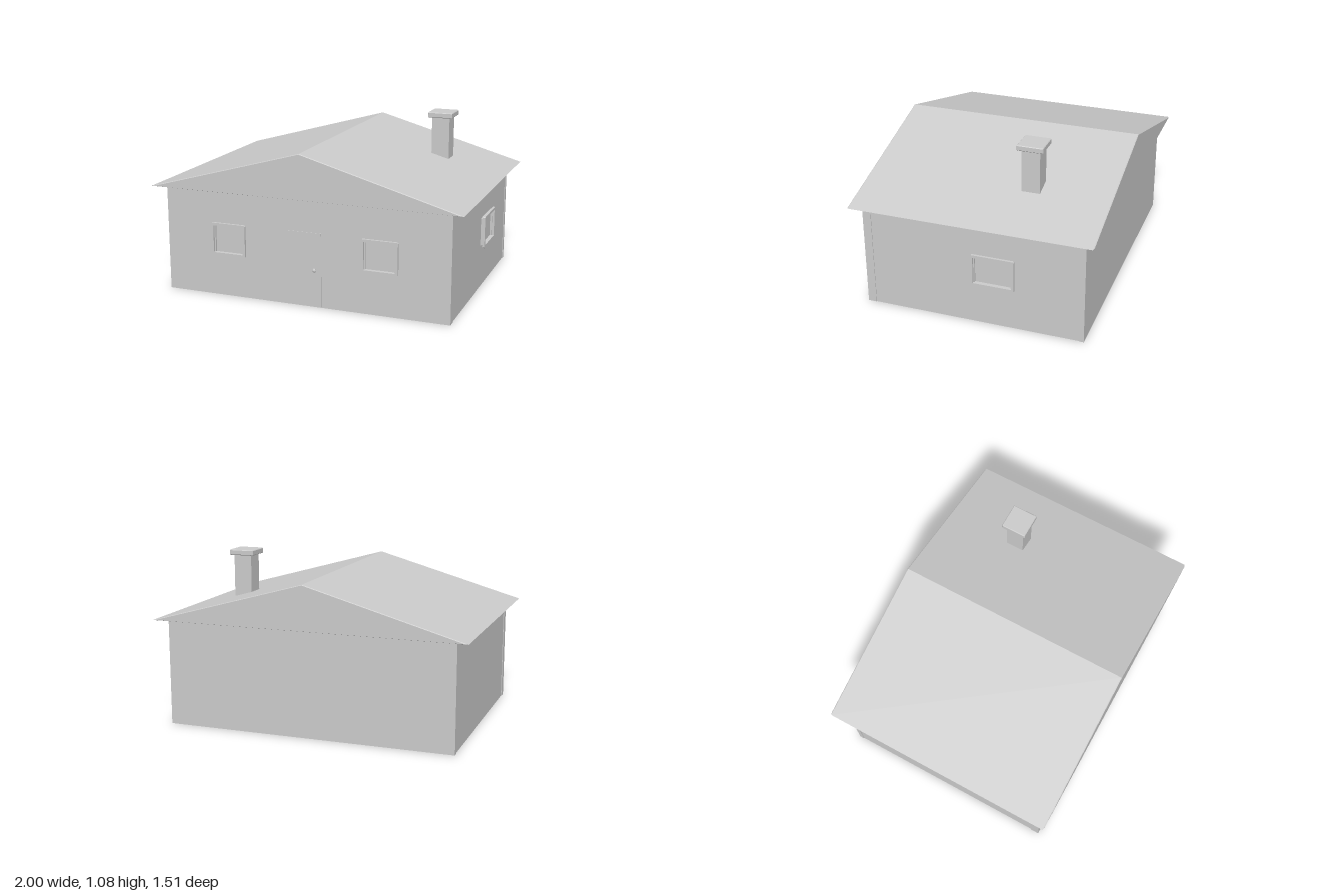
import * as THREE from 'three';

const material = new THREE.MeshStandardMaterial({ color: 0xcccccc, flatShading: true });
const smooth = new THREE.MeshStandardMaterial({ color: 0xcccccc });

function add(parent, name, geometry, x = 0, y = 0, z = 0, mat = material) {
  const mesh = new THREE.Mesh(geometry, mat);
  mesh.name = name;
  mesh.position.set(x, y, z);
  parent.add(mesh);
  return mesh;
}

// Box given by its lower and upper corners
function block(parent, name, [x0, y0, z0], [x1, y1, z1]) {
  return add(parent, name, new THREE.BoxGeometry(x1 - x0, y1 - y0, z1 - z0),
    (x0 + x1) / 2, (y0 + y1) / 2, (z0 + z1) / 2);
}

// Rectangle with clipped corners
function outline(target, w, h, c) {
  const x = w / 2, y = h / 2;
  return target.setFromPoints([
    [-x + c, -y], [x - c, -y], [x, -y + c], [x, y - c],
    [x - c, y], [-x + c, y], [-x, y - c], [-x, -y + c],
  ].map(([a, b]) => new THREE.Vector2(a, b)));
}

// Rectangular ring standing on z = 0
function ring(w, h, holeW, holeH, depth, c) {
  const shape = outline(new THREE.Shape(), w, h, c);
  shape.holes.push(outline(new THREE.Path(), holeW, holeH, 0.001));
  return new THREE.ExtrudeGeometry(shape, { depth, bevelEnabled: false });
}

// Window facing +z: narrow lining, wider rim in front, recessed pane
function createWindow(w, h) {
  const group = new THREE.Group();
  group.name = 'window';
  add(group, 'windowLining', ring(w - 0.024, h - 0.024, w - 0.048, h - 0.034, 0.016, 0.002));
  add(group, 'windowRim', ring(w, h, w - 0.034, h - 0.034, 0.015, 0.006), 0, 0, 0.015);
  add(group, 'windowPane', new THREE.BoxGeometry(w - 0.04, h - 0.03, 0.004), 0, 0, 0.002);
  return group;
}

// Gabled prism whose two end faces are slightly chamfered
function roofGeometry() {
  const base = 0.675, rise = 0.28;
  const shape = new THREE.Shape([[-1, 0], [1, 0], [0, rise]].map(([x, y]) => new THREE.Vector2(x, y)));
  const geometry = new THREE.ExtrudeGeometry(shape, { depth: 3, steps: 3, bevelEnabled: false });
  const stations = [-0.757, -0.752, 0.752, 0.757];
  const p = geometry.attributes.position;
  for (let i = 0; i < p.count; i++) {
    const k = Math.round(p.getZ(i));
    const s = k === 0 || k === 3 ? 0.98 : 1;
    p.setXYZ(i, p.getX(i) * s, base + 0.09 + (p.getY(i) - 0.09) * s, stations[k]);
  }
  geometry.computeVertexNormals();
  return geometry;
}

export function createModel() {
  const house = new THREE.Group();
  house.name = 'house';

  // Walls: end walls stand slightly proud of the side walls
  block(house, 'sideWalls', [-0.917, 0, -0.666], [0.917, 0.668, 0.646]);
  block(house, 'frontWall', [-0.921, 0, 0.645], [0.921, 0.677, 0.698]);
  block(house, 'backWall', [-0.921, 0, -0.695], [0.921, 0.677, -0.665]);
  block(house, 'wallPlate', [-0.915, 0.66, -0.666], [0.915, 0.677, 0.646]);

  add(house, 'roof', roofGeometry());

  // Chimney with chamfered cap
  block(house, 'chimneyStack', [0.521, 0.7, -0.326], [0.637, 1.05, -0.211]);
  const cap = new THREE.ExtrudeGeometry(outline(new THREE.Shape(), 0.154, 0.154, 0.002),
    { depth: 0.026, bevelThickness: 0.004, bevelSize: 0.004, bevelSegments: 1 });
  cap.rotateX(-Math.PI / 2);
  add(house, 'chimneyCap', cap, 0.579, 1.049, -0.269);

  // Door and knob
  block(house, 'door', [-0.116, 0.006, 0.66], [0.116, 0.468, 0.702]);
  const knobProfile = [[0, 0], [0.005, 0], [0.005, 0.006], [0.011, 0.008],
    [0.013, 0.012], [0.011, 0.016], [0, 0.019]].map(([r, h]) => new THREE.Vector2(r, h));
  const knob = new THREE.LatheGeometry(knobProfile, 20);
  knob.rotateX(Math.PI / 2);
  add(house, 'doorKnob', knob, 0.075, 0.236, 0.7, smooth);

  // Front windows
  for (const x of [-0.491, 0.491]) {
    const win = createWindow(0.23, 0.206);
    win.position.set(x, 0.369, 0.698);
    house.add(win);
  }

  // Window on the left side wall
  const side = createWindow(0.273, 0.206);
  side.rotation.y = Math.PI / 2;
  side.position.set(0.916, 0.369, -0.133);
  house.add(side);

  return house;
}
